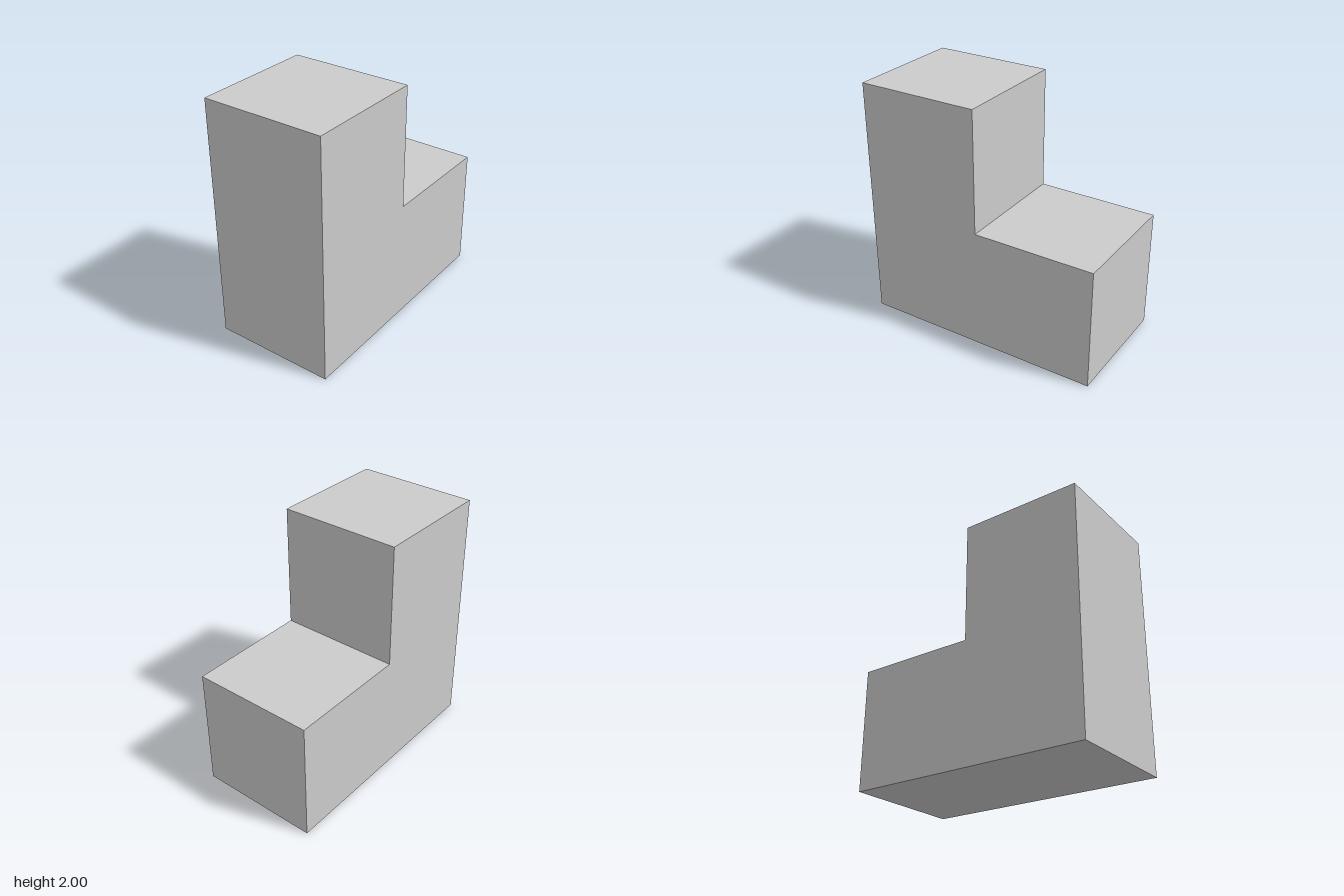
import * as THREE from 'three';

export function createModel() {
  const model = new THREE.Group();
  model.name = 'steppedBlock';

  // L-shaped profile: tall half on the right (-x), low step on the left (+x)
  const profile = new THREE.Shape(
    [[-1, 0], [1, 0], [1, 1], [0, 1], [0, 2], [-1, 2]].map(([x, y]) => new THREE.Vector2(x, y))
  );

  // Extrude one unit deep and centre on z
  const depth = 1;
  const geometry = new THREE.ExtrudeGeometry(profile, { depth, bevelEnabled: false });
  geometry.translate(0, 0, -depth / 2);

  const block = new THREE.Mesh(
    geometry,
    new THREE.MeshStandardMaterial({ color: 0xcccccc, flatShading: true })
  );
  block.name = 'lShapedBlock';
  model.add(block);

  return model;
}
